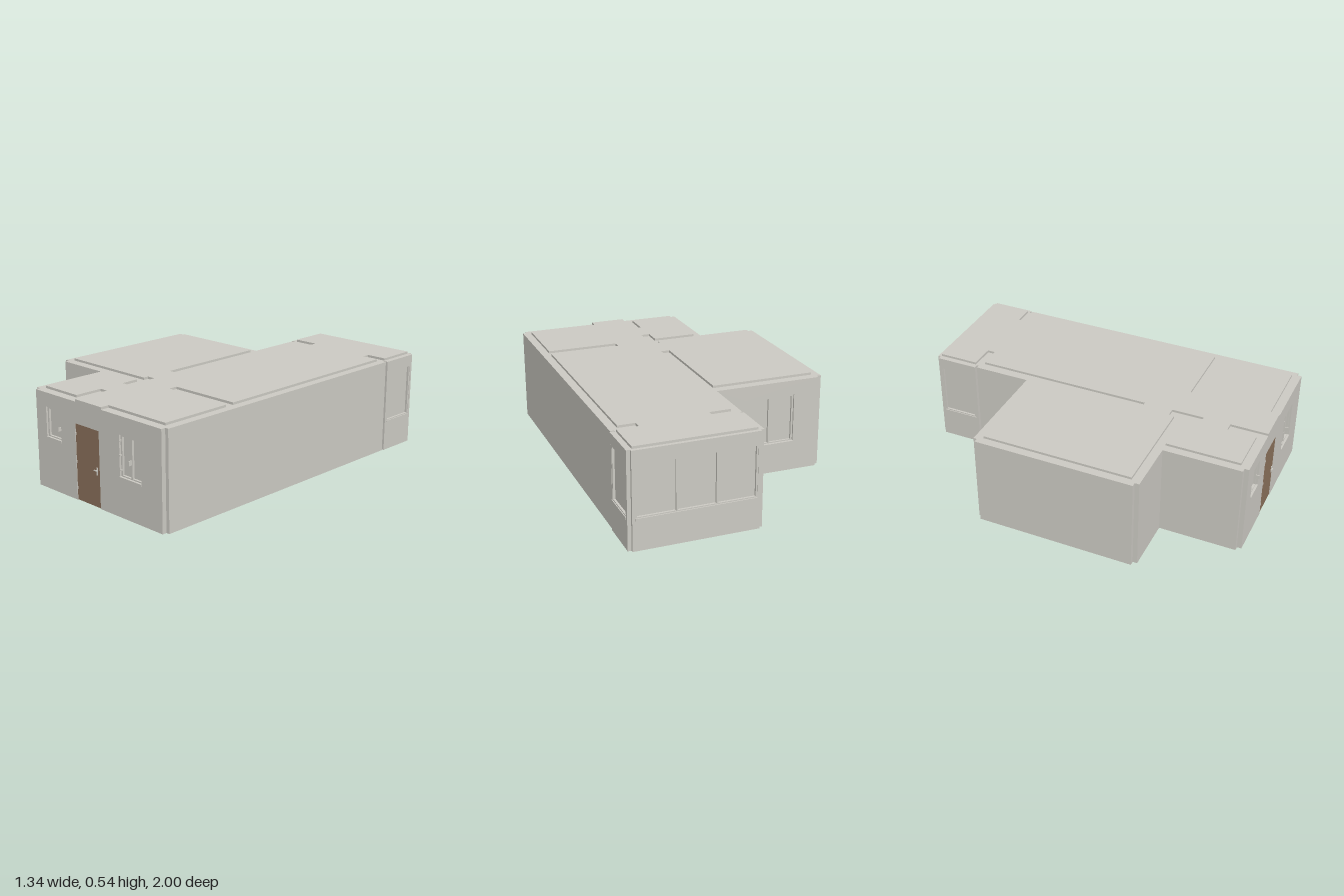
import * as THREE from 'three';

const paint = (name, color) => {
  const m = new THREE.MeshStandardMaterial({ color });
  m.name = name;
  return m;
};

export function createModel() {
  const house = new THREE.Group();
  house.name = 'house';
  const plaster = paint('warm grey plaster', 0xcbc9c2);
  const wood = paint('door wood', 0x8a705a);
  const planks = paint('brown floor', 0x8f6750);
  const tiles = paint('grey floor', 0x9c9c94);

  const T = 0.05;      // wall thickness
  const H = 0.527;     // wall height
  const TOP = 0.54;    // ceiling slab top

  // Box given by its minimum and maximum on each axis
  function box(parent, name, mat, x0, x1, y0, y1, z0, z1) {
    const m = new THREE.Mesh(new THREE.BoxGeometry(x1 - x0, y1 - y0, z1 - z0), mat);
    m.position.set((x0 + x1) / 2, (y0 + y1) / 2, (z0 + z1) / 2);
    m.name = name;
    parent.add(m);
    return m;
  }

  // Window set in a wall: recessed panes, surrounding frame, mullions and sill
  function addWindow(wall, { u0, u1, y0, y1, panes = 1, out = 0, recess = 0.022 }) {
    const g = new THREE.Group();
    g.name = 'window';
    const f = 0.01;
    const front = -recess + 0.012;
    box(g, 'pane', plaster, u0, u1, y0, y1, -recess - 0.01, -recess);
    box(g, 'frameTop', plaster, u0, u1, y1 - f, y1, -recess, front);
    box(g, 'frameBottom', plaster, u0, u1, y0, y0 + f, -recess, front);
    for (let i = 0; i <= panes; i++) {
      const u = u0 + f / 2 + (u1 - u0 - f) * i / panes;
      box(g, 'mullion', plaster, u - f / 2, u + f / 2, y0 + f, y1 - f, -recess, front);
    }
    if (out) box(g, 'sill', plaster, u0, u1, y0 - 0.008, y0 + 0.004, -recess, out);
    wall.add(g);
  }

  // Outer wall: u runs to the right as seen from outside, d is the distance of its face
  function facade(name, angle, d, u0, u1, windows = [], door) {
    const s = new THREE.Shape();
    s.moveTo(u0, 0);
    if (door) {
      s.lineTo(door[0], 0);
      s.lineTo(door[0], door[2]);
      s.lineTo(door[1], door[2]);
      s.lineTo(door[1], 0);
    }
    s.lineTo(u1, 0);
    s.lineTo(u1, H);
    s.lineTo(u0, H);
    s.closePath();
    for (const w of windows) {
      const h = new THREE.Path();
      h.moveTo(w.u0, w.y0);
      h.lineTo(w.u0, w.y1);
      h.lineTo(w.u1, w.y1);
      h.lineTo(w.u1, w.y0);
      h.closePath();
      s.holes.push(h);
    }
    const g = new THREE.Group();
    g.name = name;
    const geo = new THREE.ExtrudeGeometry(s, { depth: T, bevelEnabled: false });
    geo.translate(0, 0, -T);
    const m = new THREE.Mesh(geo, plaster);
    m.name = 'wallPanel';
    g.add(m);
    windows.forEach((w) => addWindow(g, w));
    g.rotation.y = angle;
    g.position.set(Math.sin(angle) * d, 0, Math.cos(angle) * d);
    house.add(g);
    return g;
  }

  const FRONT = 0, RIGHT = Math.PI / 2, BACK = Math.PI, LEFT = -Math.PI / 2;

  // Outer walls; their ends stop short of each other so corners are notched
  const front = facade('frontWall', FRONT, 0.99, -0.31, 0.64, [
    { u0: -0.23, u1: -0.11, y0: 0.285, y1: 0.45, out: 0.003 },
    { u0: 0.34, u1: 0.495, y0: 0.21, y1: 0.43, panes: 2, out: 0.003 },
  ], [0.005, 0.187, 0.412]);
  facade('longSideWall', RIGHT, 0.66, -0.965, 0.73);
  facade('bayRightWall', RIGHT, 0.665, 0.74, 0.98,
    [{ u0: 0.755, u1: 0.965, y0: 0.17, y1: 0.47, out: 0.003, recess: 0.014 }]);
  facade('bayBackWall', BACK, 0.995, -0.645, 0.025,
    [{ u0: -0.63, u1: 0.01, y0: 0.17, y1: 0.46, panes: 3, out: 0.004, recess: 0.014 }]);
  facade('bayLeftWall', LEFT, 0.045, -0.98, -0.74,
    [{ u0: -0.965, u1: -0.755, y0: 0.17, y1: 0.47, out: 0.003, recess: 0.014 }]);
  facade('wingBackWall', BACK, 0.41, 0.03, 0.645,
    [{ u0: 0.21, u1: 0.5, y0: 0.17, y1: 0.445, panes: 2, out: 0.006 }]);
  facade('wingSideWall', LEFT, 0.67, -0.39, 0.505);
  facade('wingFrontWall', FRONT, 0.53, -0.645, -0.03);
  facade('smallRoomSideWall', LEFT, 0.335, 0.5, 0.965);

  // Inner walls: x0, x1, z0, z1
  [
    [-0.04, 0.01, -0.73, 0.29],
    [-0.04, 0.01, 0.45, 0.63],
    [-0.04, 0.01, 0.78, 0.95],
    [0.21, 0.63, 0.48, 0.53],
    [0.52, 0.64, -0.75, -0.705],
    [-0.02, 0.13, -0.75, -0.705],
  ].forEach(([x0, x1, z0, z1]) => box(house, 'innerWall', plaster, x0, x1, 0, H, z0, z1));

  // Entrance door with handle and hinges
  box(front, 'door', wood, 0.005, 0.187, 0.002, 0.412, -0.045, -0.003);
  box(front, 'doorHandlePlate', plaster, 0.163, 0.17, 0.175, 0.215, -0.003, 0.002);
  box(front, 'doorHandle', plaster, 0.15, 0.17, 0.197, 0.202, 0.002, 0.008);
  for (const y of [0.06, 0.2, 0.35]) box(front, 'doorHinge', plaster, 0.005, 0.009, y, y + 0.015, -0.003, 0.002);

  // Window fittings
  box(front, 'windowHandle', plaster, -0.125, -0.12, 0.34, 0.36, -0.01, 0.01);
  box(front, 'windowHandle', plaster, 0.415, 0.42, 0.29, 0.315, -0.01, 0.01);
  for (const y of [0.245, 0.32, 0.395]) box(front, 'windowHinge', plaster, 0.341, 0.347, y, y + 0.008, -0.01, 0.003);

  // Rooms and door openings: x0, x1, z0, z1, floor colour
  [
    ['wing', -0.625, -0.04, -0.36, 0.48, planks],
    ['livingRoom', 0.01, 0.615, -0.705, 0.48, planks],
    ['hall', 0.01, 0.21, 0.48, 0.99, planks],
    ['frontRoom', 0.21, 0.615, 0.53, 0.94, tiles],
    ['smallRoom', -0.29, -0.04, 0.53, 0.94, tiles],
    ['bay', -0.015, 0.635, -0.975, -0.75, tiles],
    ['wingDoorway', -0.04, 0.01, 0.29, 0.45, planks],
    ['smallRoomDoorway', -0.04, 0.01, 0.63, 0.78, planks],
    ['bayOpening', 0.13, 0.52, -0.75, -0.705, planks],
  ].forEach(([name, x0, x1, z0, z1, mat]) => {
    box(house, name + 'Ceiling', plaster, x0, x1, 0.515, TOP, z0, z1);
    box(house, name + 'Floor', mat, x0, x1, 0.002, 0.015, z0, Math.min(z1, 0.986));
  });

  return house;
}
